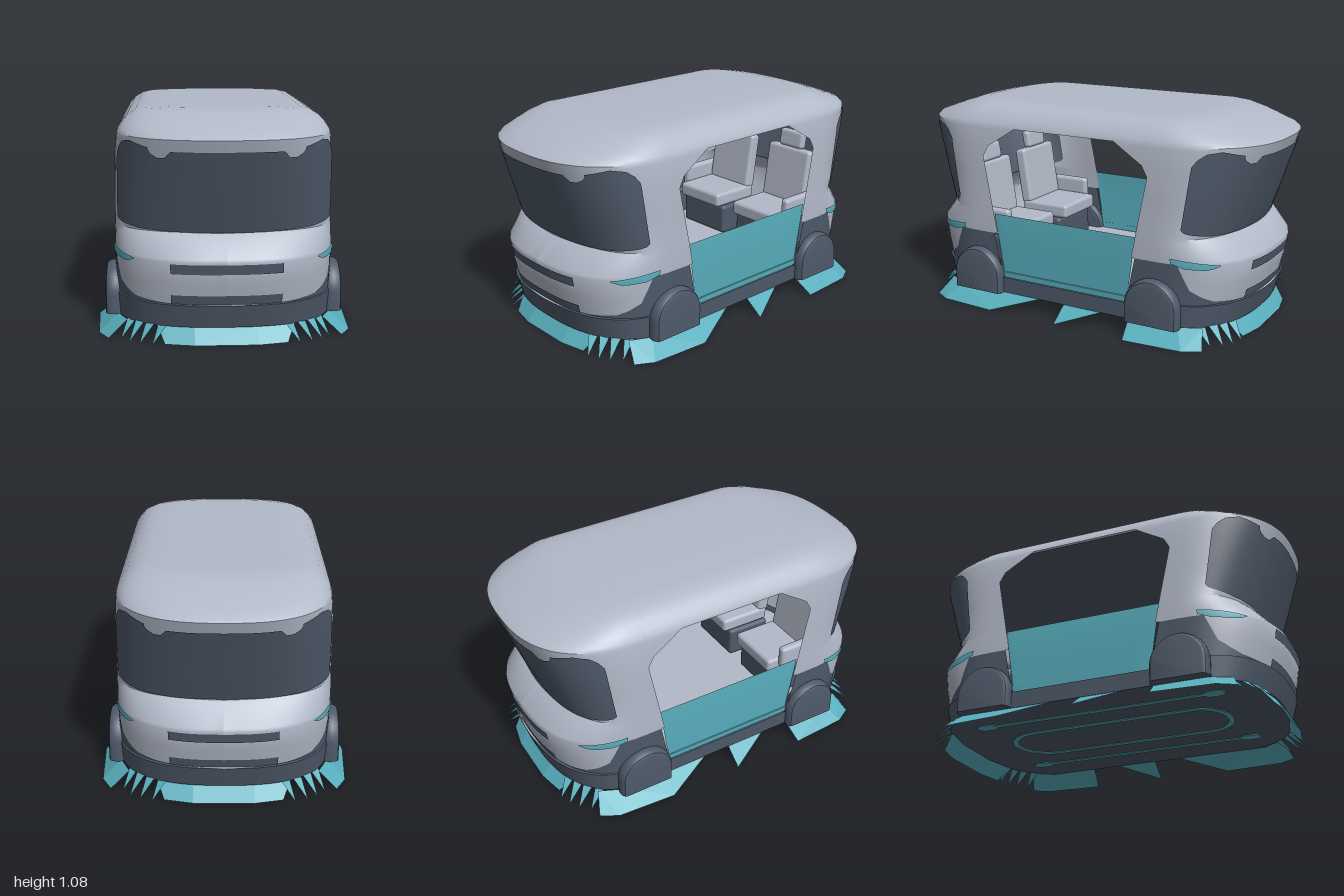
import * as THREE from 'three';
import { toCreasedNormals } from 'three/addons/utils/BufferGeometryUtils.js';
import { RoundedBoxGeometry } from 'three/addons/geometries/RoundedBoxGeometry.js';

const paint = (name, color) => {
  const m = new THREE.MeshStandardMaterial({ color, side: THREE.DoubleSide });
  m.name = name;
  return m;
};
const shellGrey = paint('shell grey', 0xb2b9c8);
const slate = paint('slate', 0x4f5a6a);
const teal = paint('teal', 0x58aebd);

// Body profile: height, half width, half length
const PROFILE = [
  [0.075, 0.53, 0.89], [0.19, 0.535, 0.925], [0.192, 0.53, 0.91], [0.3, 0.533, 0.938],
  [0.4, 0.536, 0.955], [0.415, 0.536, 0.95], [0.5, 0.536, 0.865], [0.52, 0.535, 0.84],
  [0.7, 0.533, 0.905], [0.85, 0.53, 0.957], [0.955, 0.521, 0.995], [0.97, 0.518, 1.0],
  [0.985, 0.512, 0.98], [1.01, 0.495, 0.91], [1.04, 0.468, 0.82], [1.065, 0.425, 0.735],
  [1.076, 0.38, 0.67], [1.08, 0.3, 0.61], [1.081, 0, 0.58],
];
const TOP = 1.081;
const CORNER = 0.5;

// Piecewise linear lookup in rows of [key, value, ...]
function lerpRows(rows, k, col = 1) {
  if (k <= rows[0][0]) return rows[0][col];
  for (let i = 1; i < rows.length; i++) {
    const a = rows[i - 1], b = rows[i];
    if (k <= b[0]) return a[col] + (b[col] - a[col]) * (k - a[0]) / (b[0] - a[0]);
  }
  return rows[rows.length - 1][col];
}

// Point on the right half of the body: s = -2 back centre, 0 mid side, 2 front centre
function bodyPoint(s, y, off = 0) {
  const W = lerpRows(PROFILE, y, 1) + off, L = lerpRows(PROFILE, y, 2) + off;
  const a = Math.abs(s);
  if (a <= 1) return [W, y, s * CORNER];
  const t = (a - 1) * Math.PI / 2;
  const x = W * Math.pow(Math.max(0, Math.cos(t)), 0.8);
  return [x, y, Math.sign(s) * (CORNER + (L - CORNER) * Math.pow(Math.sin(t), 0.8))];
}

const COLUMNS = [0, 0.58, 0.74, 0.84, 0.9, 0.96];
for (let i = 0; i <= 20; i++) COLUMNS.push(1 + i / 20);

// Piece of the body surface between two heights given as functions of s
function patch(name, mat, s0, s1, lo, hi, off = 0) {
  const all = [...COLUMNS, ...COLUMNS.map((c) => -c)].filter((c) => c > s0 + 1e-4 && c < s1 - 1e-4);
  const cols = [...new Set([s0, ...all, s1])].sort((a, b) => a - b);
  const grid = cols.map((s) => {
    const l = lo(s), h = Math.max(l, hi(s));
    return [l, ...PROFILE.map((p) => Math.min(h, Math.max(l, p[0]))), h].map((y) => bodyPoint(s, y, off));
  });
  const pos = [];
  const tri = (...p) => {
    const [a, b, c] = p.map((q) => new THREE.Vector3(...q));
    if (b.sub(a).cross(c.sub(a)).length() > 1e-9) pos.push(...p.flat());
  };
  for (let i = 0; i + 1 < grid.length; i++) {
    for (let j = 0; j + 1 < grid[i].length; j++) {
      const a = grid[i][j], b = grid[i][j + 1], c = grid[i + 1][j], d = grid[i + 1][j + 1];
      tri(a, b, c);
      tri(b, d, c);
    }
  }
  return named(name, toCreasedNormals(buffer(pos), 0.5), mat);
}

function buffer(pos) {
  const g = new THREE.BufferGeometry();
  g.setAttribute('position', new THREE.Float32BufferAttribute(pos, 3));
  return g;
}

function named(name, geo, mat, x = 0, y = 0, z = 0) {
  const m = new THREE.Mesh(geo, mat);
  m.name = name;
  m.position.set(x, y, z);
  return m;
}

// Glow fin strip from [x, z] points under the hull down to [x, z] points on the ground
function fin(top, bottom) {
  const pos = [];
  const T = (p) => [p[0], 0.08, p[1]], B = (p) => [p[0], 0, p[1]];
  for (let i = 0; i + 1 < top.length; i++) {
    pos.push(...T(top[i]), ...B(bottom[i]), ...T(top[i + 1]));
    pos.push(...T(top[i + 1]), ...B(bottom[i]), ...B(bottom[i + 1]));
  }
  const g = buffer(pos);
  g.computeVertexNormals();
  return named('glowFin', g, teal);
}

// Flat deck with the body's plan outline
function deck(name, mat, y, planY, inset) {
  const pts = [];
  for (const side of [1, -1]) {
    for (let i = -32; i < 32; i++) {
      const p = bodyPoint(i / 16, planY, -inset);
      pts.push(new THREE.Vector2(side * p[0], side * p[2]));
    }
  }
  const g = new THREE.ShapeGeometry(new THREE.Shape(pts));
  g.rotateX(Math.PI / 2);
  return named(name, g, mat, 0, y, 0);
}

function capsulePath(path, r, half) {
  path.absarc(0, half, r, 0, Math.PI, false);
  path.absarc(0, -half, r, Math.PI, 2 * Math.PI, false);
  path.closePath();
  return path;
}

function seat(x) {
  const g = new THREE.Group();
  g.name = 'seat';
  const box = (name, mat, w, h, d, px, py, pz, tilt = 0) => {
    const m = named(name, new RoundedBoxGeometry(w, h, d, 2, 0.02), mat, px, py, pz);
    m.rotation.x = tilt;
    g.add(m);
  };
  box('seatBase', slate, 0.34, 0.17, 0.26, 0, 0.245, -0.52);
  box('seatCushion', shellGrey, 0.32, 0.08, 0.3, 0, 0.37, -0.5);
  box('seatBack', shellGrey, 0.31, 0.32, 0.07, 0, 0.55, -0.65, -0.15);
  box('headrest', shellGrey, 0.17, 0.1, 0.05, 0, 0.755, -0.675, -0.15);
  box('armrest', shellGrey, 0.05, 0.13, 0.26, Math.sign(x) * 0.18, 0.43, -0.54);
  g.position.x = x;
  return g;
}

// Right side and front end; turned half a round it gives the rest
function createHalf() {
  const half = new THREE.Group();
  half.name = 'bodyHalf';
  const k = (v) => () => v;
  const z = (s) => Math.abs(s) * CORNER;
  const openTop = (s) => lerpRows([[0, 0.965], [0.29, 0.965], [0.45, 0.865], [0.48, 0.81]], z(s));
  const openSide = (s) => lerpRows([[0, 0.16], [0.37, 0.16], [0.42, 0.505], [0.48, 0.81]], z(s));
  const border = (s) => lerpRows([[1, 0.4], [1.15, 0.4], [1.2, 0.33], [1.25, 0.27], [1.35, 0.235],
    [1.45, 0.21], [1.7, 0.193], [2, 0.19]], Math.abs(s));
  half.add(patch('roof', shellGrey, -0.96, 0.96, openTop, k(TOP)));
  half.add(patch('sill', slate, -0.96, 0.96, k(0.075), (s) => Math.min(0.4, openSide(s))));
  half.add(patch('door', teal, -0.84, 0.84, openSide, k(0.505), -0.006));

  for (const e of [1, -1]) {
    // Lay a patch on the front (e = 1) or back (e = -1) corner
    const end = (name, mat, a, b, lo, hi, off) =>
      half.add(patch(name, mat, e > 0 ? a : -b, e > 0 ? b : -a, lo, hi, off));
    const rows = (r) => (s) => lerpRows(r, Math.abs(s));
    end('pillar', shellGrey, 0.8, 0.96, k(0.4), openSide);
    end('endShell', shellGrey, 0.96, 2, border, k(TOP));
    end('lowerBody', slate, 0.96, 2, k(0.075), border);
    for (const off of [0.006, -0.006]) {
      const sill = rows([[1.22, 0.57], [1.26, 0.55], [1.5, 0.53], [2, 0.515]]);
      end('windscreenSide', slate, 1.22, 1.58, sill, rows([[1.22, 0.88], [1.27, 0.94], [1.4, 0.955], [1.58, 0.93]]), off);
      end('windscreenShoulder', slate, 1.58, 1.735, sill, rows([[1.58, 0.92], [1.62, 0.885], [1.7, 0.885], [1.735, 0.915]]), off);
      end('windscreen', slate, 1.735, 2, sill, k(0.915), off);
    }
    end('cornerLamp', teal, 1.11, 1.46, rows([[1.11, 0.405], [1.2, 0.383], [1.38, 0.378], [1.46, 0.398]]),
      rows([[1.11, 0.43], [1.3, 0.415], [1.46, 0.402]]), 0.007);
    end('upperVent', slate, 1.735, 2, k(0.345), k(0.393), 0.005);
    end('lowerVent', slate, 1.735, 2, k(0.193), k(0.238), 0.005);

    // Wheel cover
    const arch = new THREE.Shape();
    arch.moveTo(-0.125, 0.078);
    arch.lineTo(-0.125, 0.165);
    arch.absarc(0, 0.165, 0.125, Math.PI, 0, true);
    arch.lineTo(0.125, 0.078);
    const cover = new THREE.ExtrudeGeometry(arch, { depth: 0.012, bevelThickness: 0.035, bevelSize: 0.022,
      bevelOffset: 0, bevelSegments: 3, curveSegments: 14 });
    const p = cover.attributes.position;
    for (let i = 0; i < p.count; i++) p.setY(i, Math.max(0.076, p.getY(i)));
    cover.rotateY(Math.PI / 2);
    half.add(named('wheelCover', toCreasedNormals(cover, 0.6), slate, 0.533, 0, e * 0.52));
  }

  // Glow fins along the side
  half.add(fin([[0.52, 0.13], [0.52, 0.4], [0.52, 0.65], [0.47, 0.76]], [[0.63, 0.4], [0.63, 0.4], [0.61, 0.71], [0.56, 0.8]]));
  half.add(fin([[0.52, -0.38], [0.52, -0.65], [0.47, -0.76]], [[0.63, -0.4], [0.61, -0.71], [0.56, -0.8]]));
  half.add(fin([[0.52, -0.24], [0.52, 0]], [[0.63, 0], [0.63, 0]]));
  // Glow fins at the end, with a fan of spikes at each corner
  half.add(fin([[-0.33, 0.83], [-0.15, 0.87], [0.15, 0.87], [0.33, 0.83]], [[-0.29, 0.9], [-0.15, 0.93], [0.15, 0.93], [0.29, 0.9]]));
  for (const m of [1, -1]) {
    for (const [x, z0] of [[0.35, 0.92], [0.41, 0.9], [0.46, 0.87], [0.5, 0.82]]) {
      const bx = x - 0.05, bz = z0 - 0.08;
      half.add(fin([[m * (bx - 0.02), bz + 0.015], [m * (bx + 0.02), bz - 0.015]], [[m * x, z0], [m * x, z0]]));
    }
  }
  half.add(seat(0.22), seat(-0.22));
  return half;
}

export function createModel() {
  const model = new THREE.Group();
  model.name = 'shuttle';
  const front = createHalf();
  const back = front.clone();
  back.rotation.y = Math.PI;
  model.add(front, back);

  model.add(deck('underside', slate, 0.076, 0.075, 0));
  model.add(deck('floor', shellGrey, 0.16, 0.16, 0.01));
  model.add(deck('ceiling', slate, 0.968, 0.955, 0.02));

  // Glow lines under the hull
  const plate = (name, shape, x, z) => {
    const g = new THREE.ExtrudeGeometry(shape, { depth: 0.004, bevelEnabled: false, curveSegments: 12 });
    g.rotateX(Math.PI / 2);
    model.add(named(name, g, teal, x, 0.075, z));
  };
  const loop = capsulePath(new THREE.Shape(), 0.18, 0.44);
  loop.holes.push(capsulePath(new THREE.Path(), 0.15, 0.44));
  plate('glowLoop', loop, 0, 0);
  for (const x of [-0.33, 0.33]) {
    plate('glowLine', capsulePath(new THREE.Shape(), 0.014, 0.6), x, 0);
    for (const z of [-0.62, 0.62]) plate('glowDot', capsulePath(new THREE.Shape(), 0.035, 0.02), x, z);
  }
  return model;
}
